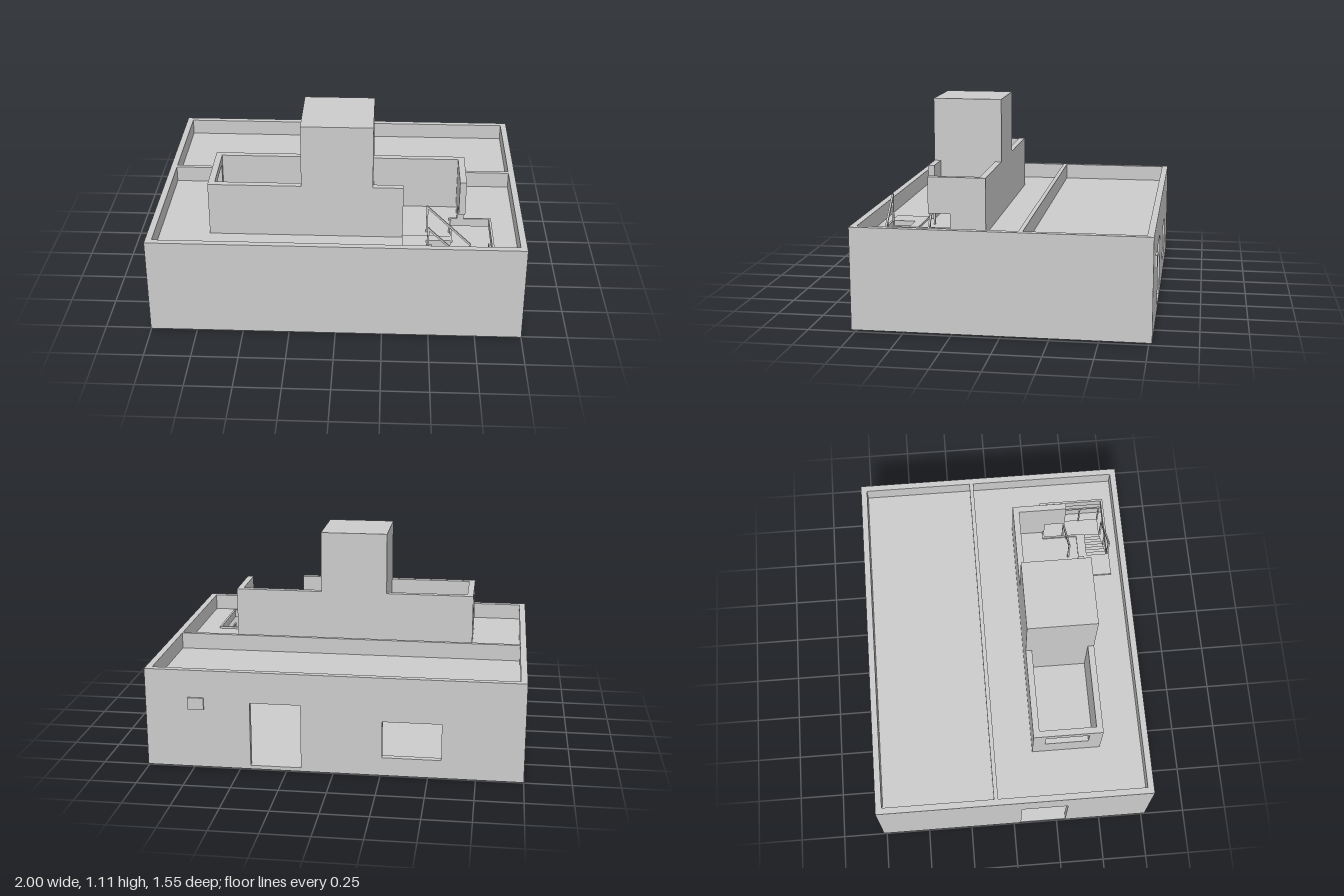
import * as THREE from 'three';

const mat = new THREE.MeshStandardMaterial({ color: 0xcccccc, flatShading: true, side: THREE.DoubleSide });

// Box given by its limits on each axis
function block(parent, name, [x0, x1], [y0, y1], [z0, z1]) {
  const m = new THREE.Mesh(new THREE.BoxGeometry(x1 - x0, y1 - y0, z1 - z0), mat);
  m.position.set((x0 + x1) / 2, (y0 + y1) / 2, (z0 + z1) / 2);
  m.name = name;
  parent.add(m);
  return m;
}

// Flat panel from an outline, with holes cut through it
function panel(parent, name, outline, holes, depth) {
  const pts = (list) => list.map(([a, b]) => new THREE.Vector2(a, b));
  const shape = new THREE.Shape(pts(outline));
  holes.forEach((h) => shape.holes.push(new THREE.Path(pts(h))));
  const m = new THREE.Mesh(new THREE.ExtrudeGeometry(shape, { depth, bevelEnabled: false }), mat);
  m.name = name;
  parent.add(m);
  return m;
}

const rect = (a0, a1, b0, b1) => [[a0, b0], [a1, b0], [a1, b1], [a0, b1]];

// Square bar between two points
function bar(parent, name, a, b, size) {
  const p = new THREE.Vector3(...a), q = new THREE.Vector3(...b);
  const m = new THREE.Mesh(new THREE.BoxGeometry(size, size, p.distanceTo(q)), mat);
  m.position.copy(p).add(q).multiplyScalar(0.5);
  m.lookAt(q);
  m.name = name;
  parent.add(m);
}

export function createModel() {
  const model = new THREE.Group();
  model.name = 'building';
  const T = 0.035, BASE = 0.01, TOP = 0.55, DECK = 0.46;
  const ZB = -0.767, ZF = 0.77;

  // Outer walls, rising past the roof as a parapet
  const shell = new THREE.Group();
  shell.name = 'mainWalls';
  model.add(shell);
  block(shell, 'frontWall', [-1, 1], [BASE, TOP], [ZF - T, ZF]);
  panel(shell, 'backWall', rect(-1, 1, BASE, TOP),
    [rect(0.17, 0.44, 0.03, 0.38), rect(-0.57, -0.26, 0.11, 0.31)], T).position.z = ZB;
  const rightSide = panel(shell, 'doorSideWall', rect(ZB + T, ZF - T, BASE, TOP),
    [rect(0.04, 0.3, 0.03, 0.385)], T);
  rightSide.rotation.y = -Math.PI / 2;
  rightSide.position.x = -1 + T;
  block(shell, 'plainSideWall', [1 - T, 1], [BASE, TOP], [ZB + T, ZF - T]);
  block(shell, 'floor', [-1 + T, 1 - T], [BASE, 0.03], [ZB + T, ZF - T]);
  block(shell, 'dividingParapet', [-1 + T, 1 - T], [DECK, TOP], [-0.115, -0.092]);
  block(shell, 'ventBox', [0.685, 0.77], [0.335, 0.4], [ZB - 0.01, ZB]);

  // Roof deck and raised stair kerb, both pierced by the stairwell
  const well = [[0.48, 0.67], [0.83, 0.67], [0.83, 0.31], [0.61, 0.31], [0.61, 0.55], [0.48, 0.55]];
  const deck = panel(model, 'roofDeck', rect(-1 + T, 1 - T, ZB + T, ZF - T), [well], 0.035);
  deck.rotation.x = Math.PI / 2;
  deck.position.y = DECK;
  const kerb = panel(model, 'stairKerb',
    [[0.35, 0.5], [0.35, 0.682], [0.842, 0.682], [0.842, 0.3], [0.6, 0.3], [0.6, 0.5]], [], 0.01);
  kerb.geometry.dispose();
  const kerbShape = new THREE.Shape([[0.35, 0.5], [0.35, 0.682], [0.842, 0.682], [0.842, 0.3],
    [0.61, 0.3], [0.61, 0.5]].map(([x, z]) => new THREE.Vector2(x, z)));
  kerbShape.holes.push(new THREE.Path([[0.48, 0.67], [0.83, 0.67], [0.83, 0.31], [0.62, 0.31],
    [0.62, 0.55], [0.48, 0.55]].map(([x, z]) => new THREE.Vector2(x, z))));
  kerb.geometry = new THREE.ExtrudeGeometry(kerbShape, { depth: 0.012, bevelEnabled: false });
  kerb.rotation.x = Math.PI / 2;
  kerb.position.y = DECK + 0.012;

  // Open-topped rooftop rooms on both sides of a tower
  const rooms = new THREE.Group();
  rooms.name = 'rooftopRooms';
  model.add(rooms);
  const H = 0.76, Z0 = 0.122, Z1 = 0.503;
  block(rooms, 'tower', [-0.192, 0.19], [DECK, 1.11], [Z0, Z1]);
  block(rooms, 'backRoomWall', [-0.692, -0.192], [DECK, H], [Z0, Z0 + T]);
  block(rooms, 'backRoomWall', [0.19, 0.69], [DECK, H], [Z0, Z0 + T]);
  block(rooms, 'frontRoomWall', [-0.692, -0.192], [DECK, H], [Z1 - T, Z1]);
  block(rooms, 'frontRoomWall', [0.19, 0.353], [DECK, H], [Z1 - T, Z1]);
  const windowWall = panel(rooms, 'windowWall', rect(Z0 + T, Z1 - T, DECK, H),
    [rect(0.19, 0.43, 0.61, 0.715)], T);
  windowWall.rotation.y = -Math.PI / 2;
  windowWall.position.x = -0.692 + T;
  // End wall, notched where it bridges the stairwell
  const endWall = panel(rooms, 'bridgingWall', [[Z0 + T, DECK], [0.312, DECK], [0.312, 0.565],
    [0.43, 0.565], [0.43, H], [Z0 + T, H]], [], T);
  endWall.rotation.y = -Math.PI / 2;
  endWall.position.x = 0.69;

  // Two flights of stairs with a turning landing
  const stairs = new THREE.Group();
  stairs.name = 'stairs';
  model.add(stairs);
  const run = 0.03, rise = 0.03, landing = DECK - 8 * rise;
  for (let i = 0; i < 8; i++) {
    const x = 0.48 + i * run, y = DECK - (i + 0.5) * rise;
    block(stairs, 'upperStep', [x, x + run], [y - 0.03, y], [0.435, 0.668]);
  }
  block(stairs, 'landing', [0.72, 0.83], [landing - 0.02, landing], [0.31, 0.668]);
  for (let i = 0; i < 7; i++) {
    const x = 0.72 - i * run, y = landing - (i + 0.5) * 0.027;
    block(stairs, 'lowerStep', [x - run, x], [y - 0.02, y], [0.31, 0.425]);
  }

  // Handrails, posts and the landing legs
  for (const z of [0.44, 0.672]) {
    bar(stairs, 'handrail', [0.485, 0.615, z], [0.725, 0.385, z], 0.01);
    bar(stairs, 'topPost', [0.485, DECK - 0.03, z], [0.485, 0.622, z], 0.01);
    bar(stairs, 'middlePost', [0.605, 0.33, z], [0.605, 0.5, z], 0.008);
    bar(stairs, 'bottomPost', [0.725, landing, z], [0.725, 0.39, z], 0.01);
  }
  bar(stairs, 'landingRail', [0.828, 0.385, 0.43], [0.828, 0.385, 0.67], 0.008);
  for (const z of [0.43, 0.55, 0.666])
    bar(stairs, 'landingPost', [0.828, landing, z], [0.828, 0.385, z], 0.008);
  for (const x of [0.685, 0.745])
    block(stairs, 'landingLeg', [x - 0.008, x + 0.008], [0, landing], [0.437, 0.453]);

  return model;
}
